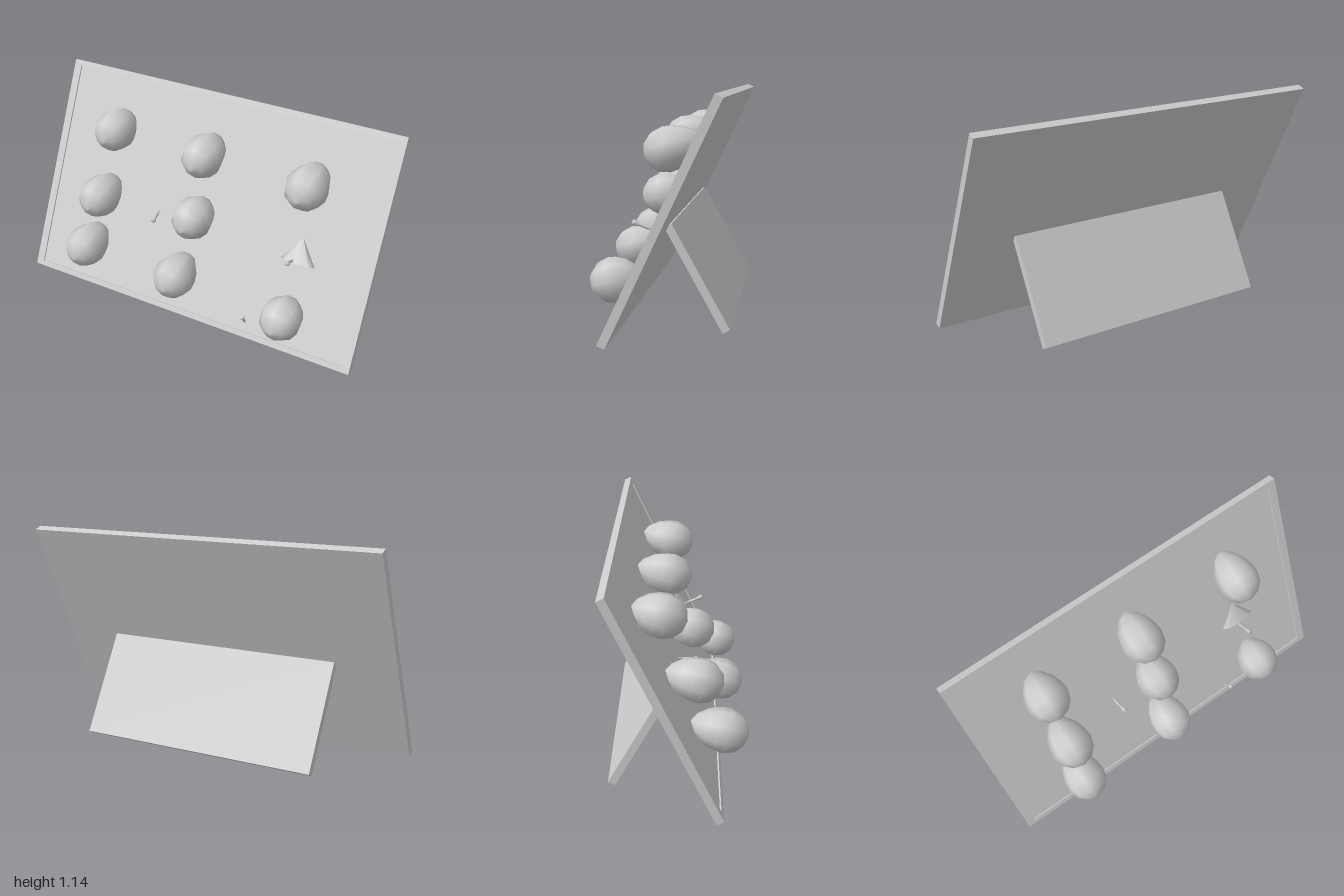
import * as THREE from 'three';

const TILT = 0.438; // backward lean of the board
const material = new THREE.MeshStandardMaterial({ color: 0xcccccc });
const thinMaterial = new THREE.MeshStandardMaterial({ color: 0xcccccc, side: THREE.DoubleSide });
const UP = new THREE.Vector3(0, 1, 0);

function add(parent, name, geometry, mat = material) {
  const mesh = new THREE.Mesh(geometry, mat);
  mesh.name = name;
  parent.add(mesh);
  return mesh;
}

function rectangle(target, w, h) {
  target.moveTo(-w / 2, -h / 2);
  target.lineTo(w / 2, -h / 2);
  target.lineTo(w / 2, h / 2);
  target.lineTo(-w / 2, h / 2);
  target.closePath();
  return target;
}

const lathe = (points, sides) =>
  new THREE.LatheGeometry(points.map(([r, y]) => new THREE.Vector2(r, y)), sides);

// Depth (z) of the board's front face at a given height
const boardZ = (y) => 0.22 - 0.469 * (y - 0.02);

// Round low-sided balloon whose tapered neck ends inside the board
function addBalloon(parent, [x, y, z, roll]) {
  const neck = z - boardZ(y) + 0.05;
  const profile = [
    [0, -neck], [0.052, -0.84 * neck], [0.09, -0.56 * neck], [0.108, -0.27 * neck],
    [0.114, 0], [0.098, 0.055], [0.057, 0.096], [0, 0.112],
  ];
  const balloon = add(parent, 'balloon', lathe(profile, 8));
  balloon.position.set(x, y, z);
  balloon.quaternion.setFromUnitVectors(UP, new THREE.Vector3(0, -0.235, 0.972).normalize());
  balloon.rotateY(roll);
}

// Small dart running from its tip in the board to its flared tail
function addDart(parent, tip, tail) {
  const a = new THREE.Vector3(...tip);
  const axis = new THREE.Vector3(...tail).sub(a);
  const len = axis.length();
  const profile = [[0, 0], [0.004, 0.25 * len], [0.008, 0.4 * len], [0.007, 0.72 * len],
    [0.014, 0.88 * len], [0.013, len], [0, len]];
  const dart = add(parent, 'dart', lathe(profile, 6));
  dart.position.copy(a);
  dart.quaternion.setFromUnitVectors(UP, axis.normalize());
}

export function createModel() {
  const model = new THREE.Group();
  model.name = 'balloonDartBoard';

  // Leaning board: panel with a slim raised border
  const board = new THREE.Group();
  board.name = 'board';
  board.position.set(0, 0.574, -0.0625);
  board.rotation.x = -TILT;
  model.add(board);
  add(board, 'panel', new THREE.BoxGeometry(2, 1.237, 0.033)).position.z = -0.0045;
  const border = rectangle(new THREE.Shape(), 2, 1.237);
  border.holes.push(rectangle(new THREE.Path(), 1.91, 1.177));
  add(board, 'border', new THREE.ExtrudeGeometry(border, { depth: 0.008, bevelEnabled: false }))
    .position.z = 0.012;

  // Burst balloon: a flattened open scrap lying on the board
  const scrap = add(board, 'burstBalloon',
    new THREE.ConeGeometry(0.098, 0.14, 8, 1, true), thinMaterial);
  scrap.scale.z = 0.3;
  scrap.position.set(0.595, -0.075, 0.012);

  // Rear support panel
  const support = add(model, 'rearSupport', new THREE.BoxGeometry(1.34, 0.575, 0.04));
  support.position.set(0, 0.264, -0.194);
  support.rotation.x = Math.atan2(0.278, 0.5);

  // Balloons: x, y, z, roll
  const balloons = [
    [-0.58, 0.885, -0.065, 0.15], [-0.01, 0.88, -0.045, 0], [0.595, 0.868, -0.036, 0.3],
    [-0.585, 0.548, 0.113, 0.1], [0, 0.568, 0.078, 0], [-0.605, 0.283, 0.24, 0.2],
    [-0.025, 0.273, 0.236, 0.35], [0.612, 0.23, 0.225, 0.1],
  ];
  balloons.forEach((b) => addBalloon(model, b));

  // Darts: tip, tail
  addDart(model, [-0.255, 0.51, -0.015], [-0.235, 0.495, 0.1]);
  addDart(model, [0.39, 0.09, 0.18], [0.402, 0.185, 0.25]);
  addDart(model, [0.575, 0.465, 0.005], [0.587, 0.515, 0.132]);

  return model;
}
